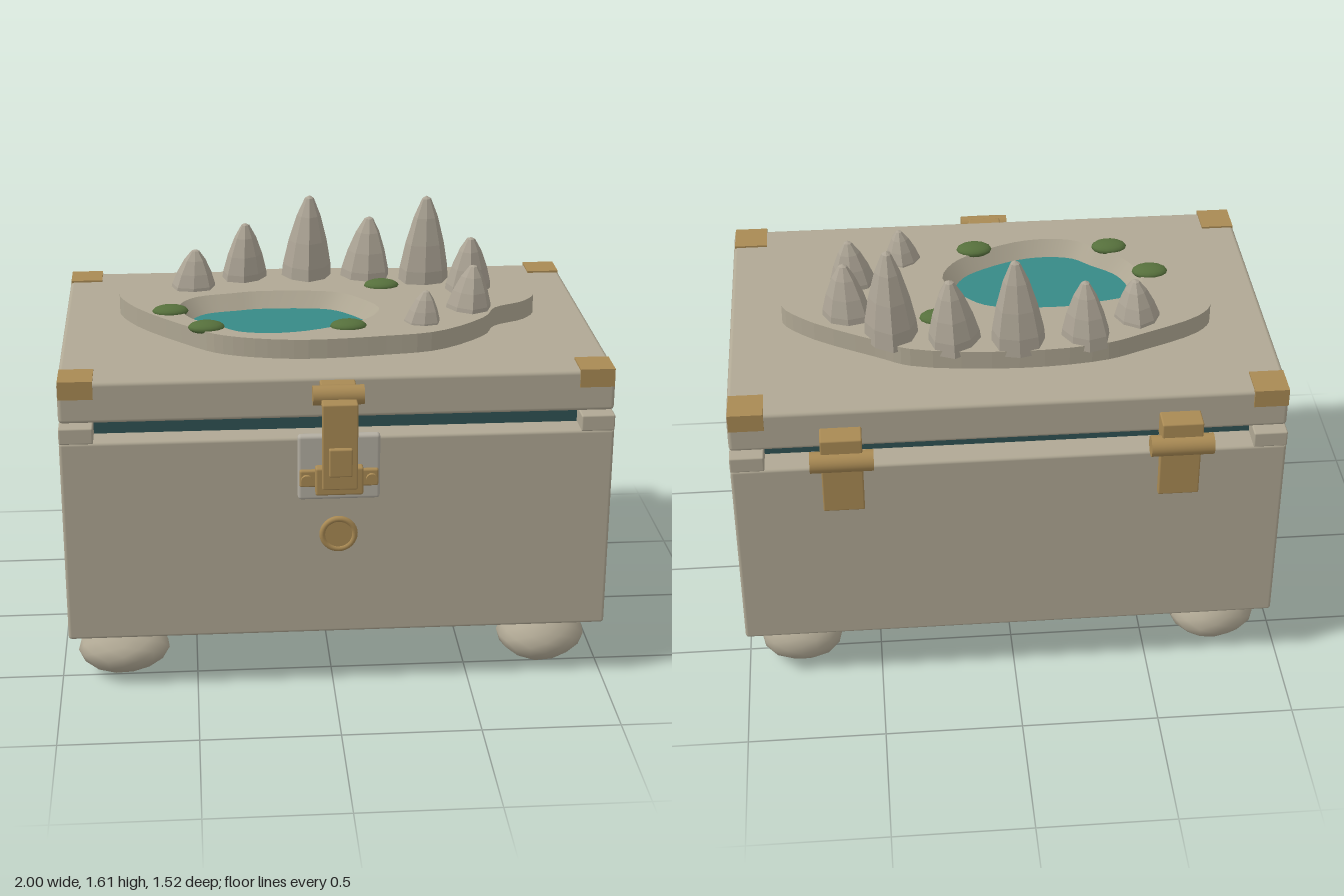
import * as THREE from 'three';
import { RoundedBoxGeometry } from 'three/addons/geometries/RoundedBoxGeometry.js';
import { mergeVertices } from 'three/addons/utils/BufferGeometryUtils.js';

const material = (name, color, extra = {}) => {
  const m = new THREE.MeshStandardMaterial({ color, ...extra });
  m.name = name;
  return m;
};

export function createModel() {
  const model = new THREE.Group();
  model.name = 'pondChest';
  const stone = material('stone', 0xb0a894);
  const rock = material('rock', 0xaca495, { flatShading: true });
  const pewter = material('pewter', 0xb3aea2);
  const brass = material('brass', 0xa98a54);
  const lining = material('lining', 0x2f5254);
  const water = material('water', 0x378a87);
  const moss = material('moss', 0x56703c);

  const add = (name, geometry, mat, x = 0, y = 0, z = 0, parent = model) => {
    const mesh = new THREE.Mesh(geometry, mat);
    mesh.name = name;
    mesh.position.set(x, y, z);
    parent.add(mesh);
    return mesh;
  };
  // Box given by its extents, with slightly rounded edges when r > 0
  const box = (name, mat, [x0, x1], [y0, y1], [z0, z1], r = 0, parent = model) => {
    const s = [x1 - x0, y1 - y0, z1 - z0];
    const g = r ? new RoundedBoxGeometry(...s, 2, r) : new THREE.BoxGeometry(...s);
    return add(name, g, mat, (x0 + x1) / 2, (y0 + y1) / 2, (z0 + z1) / 2, parent);
  };
  const rod = (name, mat, r, length, axis, x, y, z, parent = model) => {
    const g = new THREE.CylinderGeometry(r, r, length, 24);
    if (axis === 'x') g.rotateZ(Math.PI / 2);
    if (axis === 'z') g.rotateX(Math.PI / 2);
    return add(name, g, mat, x, y, z, parent);
  };

  // Chest body: four panels, base plate and lining
  const L = -0.965, R = 1.0;
  box('frontPanel', stone, [L, R], [0.225, 0.995], [0.53, 0.63], 0.012);
  box('backPanel', stone, [L, R], [0.225, 0.995], [-0.68, -0.575], 0.012);
  box('rightPanel', stone, [L, L + 0.1], [0.225, 0.995], [-0.58, 0.535], 0.01);
  box('leftPanel', stone, [R - 0.1, R], [0.225, 0.995], [-0.58, 0.535], 0.01);
  box('basePlate', stone, [-0.885, 0.915], [0.19, 0.26], [-0.58, 0.535], 0.01);
  box('lining', lining, [-0.855, 0.885], [0.9, 1.053], [-0.57, 0.52]);
  for (const x of [[L, -0.845], [0.88, R]]) {
    box('cornerBlock', stone, x, [0.99, 1.05], [0.53, 0.63], 0.006);
    box('cornerBlock', stone, x, [0.99, 1.05], [-0.68, -0.58], 0.006);
  }

  // Lid with brass corner caps
  box('lid', stone, [L, R], [1.058, 1.21], [-0.65, 0.605], 0.015);
  for (const x of [[-0.962, -0.84], [0.872, 0.995]]) {
    box('cornerCapTop', brass, x, [1.195, 1.217], [0.48, 0.607]);
    box('cornerCapFace', brass, x, [1.15, 1.217], [0.596, 0.61]);
    box('cornerCapTop', brass, x, [1.195, 1.217], [-0.656, -0.535]);
    box('cornerCapFace', brass, x, [1.15, 1.217], [-0.659, -0.64]);
  }

  // Pebble feet, lumpy but smooth
  const foot = (x, z, seed) => {
    let g = new THREE.IcosahedronGeometry(1, 2);
    g.deleteAttribute('uv');
    g.deleteAttribute('normal');
    g = mergeVertices(g, 1e-3);
    const p = g.attributes.position, v = new THREE.Vector3();
    for (let i = 0; i < p.count; i++) {
      v.fromBufferAttribute(p, i);
      const k = 0.98 + 0.05 * Math.sin(3 * v.x + seed) * Math.cos(2.6 * v.z + 2 * seed) + 0.02 * Math.sin(5 * v.y + seed);
      p.setXYZ(i, v.x * k * 0.167, v.y * k * 0.1, v.z * k * 0.147);
    }
    g.computeVertexNormals();
    add('foot', g, stone, x, 0.108, z);
  };
  foot(-0.77, 0.455, 1);
  foot(0.797, 0.455, 2.4);
  foot(-0.77, -0.505, 3.1);
  foot(0.797, -0.505, 4.6);

  // Island on the lid with a sunken pond
  const loop = (pts, n) => new THREE.CatmullRomCurve3(
    pts.map(([x, z]) => new THREE.Vector3(x, 0, z)), true).getPoints(n).slice(0, -1);
  const flat = (pts) => pts.map((p) => new THREE.Vector2(p.x, -p.z));
  const shore = loop([[-0.76, -0.17], [-0.71, -0.25], [-0.48, -0.36], [-0.34, -0.41], [-0.02, -0.435],
    [0.35, -0.39], [0.46, -0.33], [0.72, -0.17], [0.81, -0.06], [0.76, 0.03], [0.64, 0.1], [0.59, 0.2],
    [0.4, 0.35], [0.19, 0.39], [-0.08, 0.412], [-0.26, 0.385], [-0.4, 0.33], [-0.5, 0.24], [-0.7, 0]], 72);
  const rim = loop([[-0.53, -0.02], [-0.47, -0.1], [-0.34, -0.135], [-0.24, -0.155], [-0.02, -0.145],
    [0.07, -0.12], [0.14, -0.055], [0.21, 0.075], [0.165, 0.18], [0.08, 0.245], [-0.08, 0.315],
    [-0.21, 0.33], [-0.32, 0.305], [-0.39, 0.24], [-0.48, 0.16], [-0.52, 0.08]], 48);
  const pool = rim.map((p) => new THREE.Vector3(-0.168 + (p.x + 0.168) * 0.88, 0, 0.088 + (p.z - 0.088) * 0.84));
  const island = new THREE.Shape(flat(shore));
  island.holes.push(new THREE.Path(flat(rim)));
  const slab = new THREE.ExtrudeGeometry(island, { depth: 0.08, bevelEnabled: false });
  add('island', slab.rotateX(-Math.PI / 2), stone, 0, 1.202, 0);
  add('pondWater', new THREE.ShapeGeometry(new THREE.Shape(flat(pool))).rotateX(-Math.PI / 2), water, 0, 1.224, 0);

  // Sloping bank between rim and water
  const bankPoints = [], bankFaces = [], n = rim.length;
  rim.forEach((p, i) => {
    bankPoints.push(p.x, 1.282, p.z, pool[i].x, 1.222, pool[i].z);
    const a = 2 * i, b = 2 * ((i + 1) % n);
    bankFaces.push(a, b, a + 1, b, b + 1, a + 1);
  });
  const bank = new THREE.BufferGeometry();
  bank.setAttribute('position', new THREE.Float32BufferAttribute(bankPoints, 3));
  bank.setIndex(bankFaces);
  bank.computeVertexNormals();
  const bankStone = stone.clone();
  bankStone.side = THREE.DoubleSide;
  add('pondBank', bank, bankStone);

  // Ring of pointed rocks: x, z, radius, top
  const profile = [[0.98, 0], [0.93, 0.2], [0.74, 0.48], [0.46, 0.77], [0.17, 0.97], [0, 1]];
  [[-0.48, -0.24, 0.088, 1.43], [-0.285, -0.345, 0.09, 1.5], [-0.035, -0.355, 0.1, 1.603],
    [0.195, -0.335, 0.098, 1.52], [0.41, -0.275, 0.1, 1.615], [0.565, -0.14, 0.092, 1.487],
    [0.545, 0.085, 0.088, 1.448], [0.352, 0.23, 0.07, 1.4]].forEach(([x, z, r, top], i) => {
    const h = top - 1.26;
    const g = new THREE.LatheGeometry(profile.map(([a, b]) => new THREE.Vector2(a * r, b * h)), 8);
    const p = g.attributes.position;
    for (let k = 0; k < p.count; k++) {
      const px = p.getX(k), pz = p.getZ(k), t = p.getY(k) / h;
      const s = 1 + 0.07 * Math.sin(3 * Math.atan2(pz, px) + 1.7 * i);
      p.setX(k, px * s + 0.012 * t);
      p.setZ(k, pz * s + 0.008 * t);
    }
    add('pointedRock', g, rock, x, 1.26, z).rotation.y = 0;
  });

  // Moss cushions
  for (const [x, z] of [[-0.567, 0.062], [-0.437, 0.252], [0.078, 0.273], [0.243, -0.193]]) {
    add('mossCushion', new THREE.SphereGeometry(1, 14, 10), moss, x, 1.284, z).scale.set(0.067, 0.023, 0.047);
  }

  // Front latch
  const latch = new THREE.Group();
  latch.name = 'latch';
  model.add(latch);
  box('latchPlate', pewter, [-0.13, 0.162], [0.765, 1.01], [0.62, 0.655], 0.012, latch);
  box('keeper', brass, [-0.07, 0.1], [0.795, 0.9], [0.65, 0.69], 0.008, latch);
  box('keeperFlange', brass, [-0.125, 0.155], [0.82, 0.885], [0.65, 0.67], 0.008, latch);
  for (const x of [-0.1, 0.13]) rod('keeperScrew', brass, 0.02, 0.03, 'z', x, 0.85, 0.668, latch);
  box('latchLeaf', brass, [-0.05, 0.075], [1.13, 1.2], [0.59, 0.65], 0.006, latch);
  rod('latchBarrel', brass, 0.035, 0.18, 'x', 0.012, 1.165, 0.66, latch);
  box('latchArm', brass, [-0.05, 0.075], [1.135, 1.16], [0.66, 0.745], 0.006, latch);
  box('latchStrap', brass, [-0.05, 0.075], [0.84, 1.16], [0.714, 0.745], 0.006, latch);
  box('latchGrip', brass, [-0.027, 0.055], [0.895, 1.0], [0.74, 0.762], 0.006, latch);
  box('latchTongue', brass, [-0.03, 0.055], [0.845, 0.885], [0.685, 0.72], 0, latch);

  // Round lock below the latch
  rod('lockDisc', brass, 0.058, 0.03, 'z', 0.015, 0.628, 0.638);
  add('lockRim', new THREE.TorusGeometry(0.058, 0.011, 10, 32), brass, 0.015, 0.628, 0.648);

  // Rear hinges
  for (const x of [-0.58, 0.61]) {
    const hinge = new THREE.Group();
    hinge.name = 'hinge';
    model.add(hinge);
    rod('hingeBarrel', brass, 0.038, 0.222, 'x', x, 1.05, -0.722, hinge);
    box('upperLeaf', brass, [x - 0.073, x + 0.073], [1.052, 1.142], [-0.73, -0.64], 0.006, hinge);
    box('lowerLeaf', brass, [x - 0.073, x + 0.073], [0.82, 1.05], [-0.706, -0.675], 0.006, hinge);
  }

  // Pull ring on the right side
  box('ringMount', brass, [-0.985, -0.955], [0.68, 0.765], [-0.06, 0.005], 0.008);
  rod('ringPin', brass, 0.014, 0.04, 'x', -0.979, 0.715, -0.028);
  add('pullRing', new THREE.TorusGeometry(0.062, 0.0105, 10, 32), brass, -0.989, 0.65, -0.028).rotation.y = Math.PI / 2;

  return model;
}
